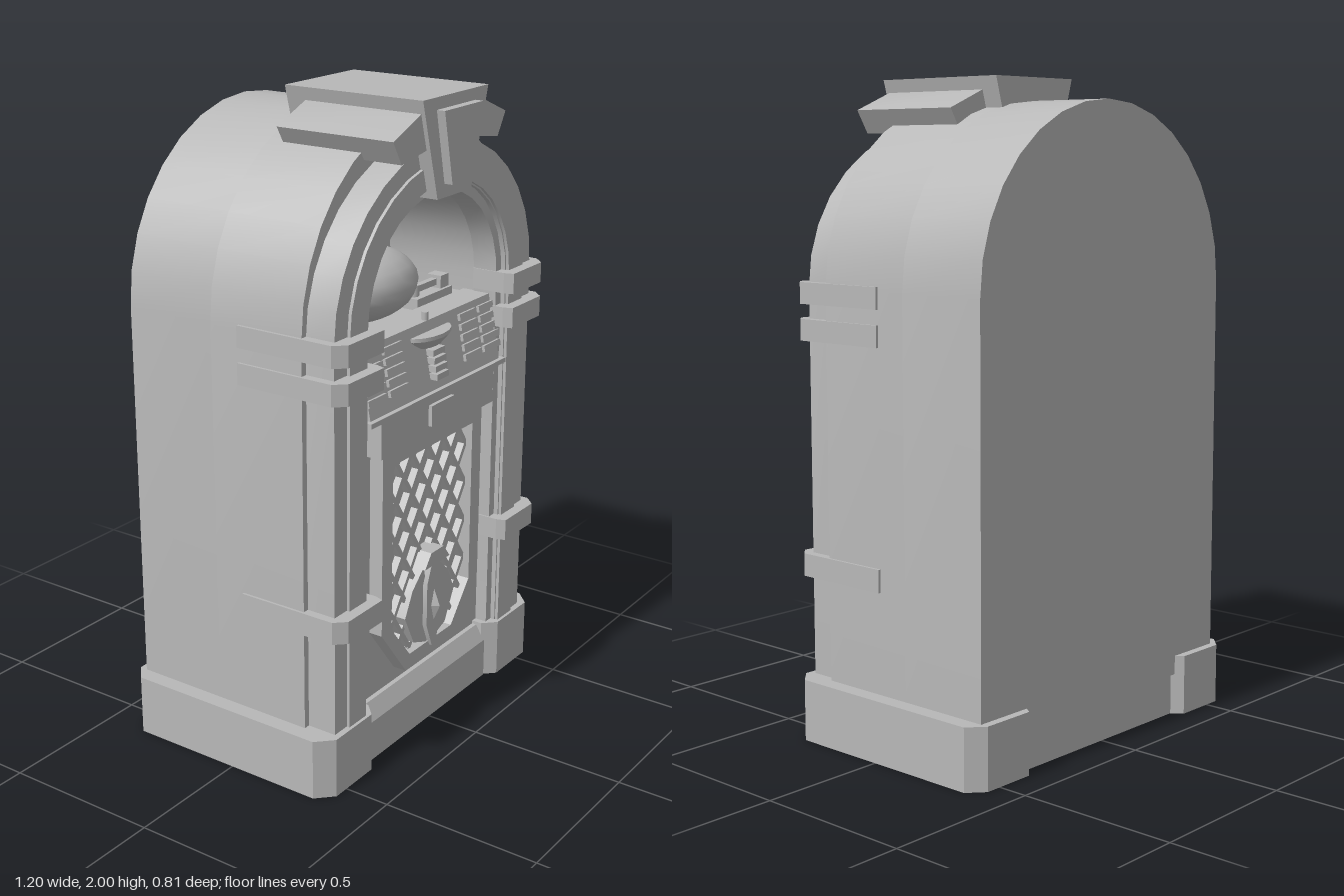
import * as THREE from 'three';
import { toCreasedNormals } from 'three/addons/utils/BufferGeometryUtils.js';

const grey = new THREE.MeshStandardMaterial({ color: 0xb8b8b8 });
grey.name = 'plain grey';

export function createModel() {
  const model = new THREE.Group();
  model.name = 'jukebox';
  const SPRING = 1.38; // height where every arch starts

  const add = (name, geo, parent = model) => {
    const mesh = new THREE.Mesh(geo, grey);
    mesh.name = name;
    parent.add(mesh);
    return mesh;
  };
  const box = (name, x0, x1, y0, y1, z0, z1) => {
    const m = add(name, new THREE.BoxGeometry(x1 - x0, y1 - y0, z1 - z0));
    m.position.set((x0 + x1) / 2, (y0 + y1) / 2, (z0 + z1) / 2);
    return m;
  };
  const vecs = (pts) => pts.map(([x, y]) => new THREE.Vector2(x, y));
  const flip = (pts, s) => pts.map(([x, y]) => [x * s, y]);
  // mirror a half outline listed from the centre line round to the centre line
  const both = (pts) => [...pts, ...flip(pts, -1).reverse()];

  // outline in x and y, pushed from z0 to z1
  const slab = (name, pts, z0, z1, holes = []) => {
    const shape = new THREE.Shape(vecs(pts));
    holes.forEach((h) => shape.holes.push(new THREE.Path(vecs(h))));
    const geo = new THREE.ExtrudeGeometry(shape, { depth: z1 - z0, bevelEnabled: false });
    geo.translate(0, 0, z0);
    return add(name, toCreasedNormals(geo, 0.45));
  };
  // outline in x and z, pushed from y0 to y1
  const plan = (name, pts, y0, y1) => {
    const shape = new THREE.Shape(vecs(pts.map(([x, z]) => [x, -z])));
    const geo = new THREE.ExtrudeGeometry(shape, { depth: y1 - y0, bevelEnabled: false });
    geo.rotateX(-Math.PI / 2);
    geo.translate(0, y0, 0);
    return add(name, geo);
  };
  // outline in z and y, running from x0 to x1
  const profile = (name, pts, x0, x1) => {
    const shape = new THREE.Shape(vecs(pts.map(([z, y]) => [-z, y])));
    const geo = new THREE.ExtrudeGeometry(shape, { depth: x1 - x0, bevelEnabled: false });
    geo.rotateY(Math.PI / 2);
    geo.translate(x0, 0, 0);
    return add(name, geo);
  };
  const arch = (rx, ry, bottom) => {
    const pts = [[rx, bottom]];
    for (let i = 0; i <= 16; i++) {
      const a = (i / 16) * Math.PI;
      pts.push([Math.cos(a) * rx, SPRING + Math.sin(a) * ry]);
    }
    pts.push([-rx, bottom]);
    return pts;
  };
  const horseshoe = (name, [rx, ry], [ix, iy], bottom, z0, z1) =>
    slab(name, [...arch(rx, ry, bottom), ...arch(ix, iy, bottom).reverse()], z0, z1);

  // cabinet, with the window cavity in its front part
  slab('cabinetRear', arch(0.55, 0.55, 0.13), -0.38, -0.08);
  slab('cabinetFront', arch(0.55, 0.55, 0.13), -0.08, 0.24, [arch(0.36, 0.34, 1.31)]);

  // arched columns in two steps
  horseshoe('outerColumn', [0.53, 0.48], [0.38, 0.36], 0.18, 0.24, 0.335);
  horseshoe('columnRidge', [0.47, 0.43], [0.385, 0.365], 0.18, 0.33, 0.345);
  horseshoe('innerColumn', [0.38, 0.36], [0.35, 0.33], 0.18, 0.24, 0.32);

  // base with chamfered feet and a bevelled plinth
  plan('base', both([[0.33, 0.28], [0.33, 0.315], [0.37, 0.355], [0.55, 0.355], [0.6, 0.305],
    [0.6, -0.36], [0.55, -0.405], [0.375, -0.405], [0.35, -0.37]]), 0, 0.19);
  profile('plinth', [[0.2, 0], [0.325, 0], [0.325, 0.13], [0.295, 0.18], [0.2, 0.18]], -0.335, 0.335);

  // bands wrapped round the columns
  const band = [[0.345, 0.24], [0.345, 0.35], [0.355, 0.38], [0.525, 0.38],
    [0.558, 0.345], [0.558, 0.02], [0.53, 0.02], [0.53, 0.24]];
  for (const s of [-1, 1])
    for (const [y0, y1] of [[0.5, 0.57], [1.22, 1.285], [1.33, 1.395]])
      plan('columnBand', flip(band, s), y0, y1);

  // keystone and its wings
  slab('keystone', both([[0.09, 1.71], [0.172, 2]]), -0.095, 0.378);
  slab('keystonePlate', both([[0.055, 1.75], [0.102, 1.965]]), 0.37, 0.405);
  for (const s of [-1, 1])
    slab('keystoneWing', flip([[0.1, 1.86], [0.255, 1.835], [0.297, 1.905], [0.15, 1.965], [0.1, 1.965]], s),
      -0.03, 0.365);

  // lower front
  box('frontPanel', -0.36, 0.36, 0.17, 1.11, 0.22, 0.28);
  box('header', -0.31, 0.31, 0.985, 1.1, 0.27, 0.343);
  box('headerShelf', -0.372, 0.372, 1.1, 1.115, 0.24, 0.35);
  box('badge', -0.062, 0.062, 1.015, 1.08, 0.34, 0.355);

  // grille frame and diamond lattice
  const opening = both([[0.12, 0.275], [0.222, 0.4], [0.222, 0.935]]);
  slab('grilleFrame', both([[0.14, 0.225], [0.275, 0.4], [0.275, 0.985]]), 0.27, 0.325, [opening]);
  const clip = (px, py, dx, dy) => { // part of a line inside the opening
    let t0 = -9, t1 = 9;
    opening.forEach(([ax, ay], i) => {
      const [bx, by] = opening[(i + 1) % opening.length];
      const nx = ay - by, ny = bx - ax;
      const side = nx * (px - ax) + ny * (py - ay), rate = nx * dx + ny * dy;
      if (Math.abs(rate) < 1e-9) return;
      if (rate > 0) t0 = Math.max(t0, -side / rate);
      else t1 = Math.min(t1, -side / rate);
    });
    return [t0, t1];
  };
  const slope = Math.atan2(0.13, 0.088);
  for (const s of [-1, 1])
    for (let i = -6; i <= 6; i++) {
      const dx = Math.cos(slope) * s, dy = Math.sin(slope);
      const px = (i + 0.5) * 0.088, py = 0.605;
      const [t0, t1] = clip(px, py, dx, dy);
      if (t1 - t0 < 0.03) continue;
      const bar = add('latticeBar', new THREE.BoxGeometry(t1 - t0, 0.015, 0.025));
      const t = (t0 + t1) / 2;
      bar.position.set(px + dx * t, py + dy * t, 0.291);
      bar.rotation.z = Math.atan2(dy, dx);
    }

  // leaf emblem
  const leaf = add('emblemLeaf', new THREE.OctahedronGeometry(1));
  leaf.scale.set(0.042, 0.145, 0.06);
  leaf.position.set(0, 0.4, 0.297);
  slab('emblemStem', both([[0.008, 0.26], [0.04, 0.34], [0.04, 0.48], [0.015, 0.545]]), 0.28, 0.335);
  slab('emblemCap', both([[0.07, 0.545], [0.035, 0.59]]), 0.28, 0.345);
  for (const s of [-1, 1])
    slab('emblemFan', flip([[0.01, 0.27], [0.09, 0.3], [0.14, 0.4], [0.1, 0.48], [0.035, 0.54]], s), 0.28, 0.32);

  // sloping console with vent slats
  profile('console', [[0.2, 1.115], [0.335, 1.115], [0.295, 1.32], [0.2, 1.32]], -0.355, 0.355);
  const faceZ = (y) => 0.335 - ((y - 1.115) / 0.205) * 0.04;
  const tilt = -Math.atan2(0.04, 0.205);
  for (const x of [-0.315, -0.205, 0.205, 0.315])
    for (let i = 0; i < 5; i++) {
      const y = 1.165 + i * 0.031;
      const slat = add('ventSlat', new THREE.BoxGeometry(0.095, 0.02, 0.02));
      slat.position.set(x, y, faceZ(y));
      slat.rotation.x = tilt;
    }

  // selector dish on a stepped stem
  const dish = add('selectorDish', new THREE.CylinderGeometry(0.108, 0.07, 0.03, 16));
  dish.position.set(0, 1.262, 0.285);
  dish.scale.z = 0.6;
  const rim = add('selectorRim', new THREE.CylinderGeometry(0.108, 0.108, 0.012, 16));
  rim.position.set(0, 1.283, 0.285);
  rim.scale.z = 0.6;
  for (let i = 0; i < 4; i++)
    box('selectorStem', -0.032, 0.032, 1.15 + i * 0.024, 1.169 + i * 0.024, 0.28, 0.352 - i * 0.005);
  const pin = add('selectorPin', new THREE.CylinderGeometry(0.01, 0.01, 0.07, 10));
  pin.position.set(0, 1.31, 0.285);

  // dome and pickup arm inside the window
  const dome = add('dome', new THREE.SphereGeometry(1, 16, 12));
  dome.scale.set(0.21, 0.112, 0.16);
  dome.position.set(-0.075, 1.42, 0.1);
  box('armBase', 0.09, 0.285, 1.305, 1.345, 0.13, 0.2);
  box('armPost', 0.235, 0.28, 1.34, 1.385, 0.14, 0.19);
  box('pickupArm', 0.11, 0.24, 1.355, 1.375, 0.155, 0.175);
  const knob = add('armKnob', new THREE.CylinderGeometry(0.018, 0.018, 0.05, 10));
  knob.position.set(0.12, 1.355, 0.165);

  return model;
}
